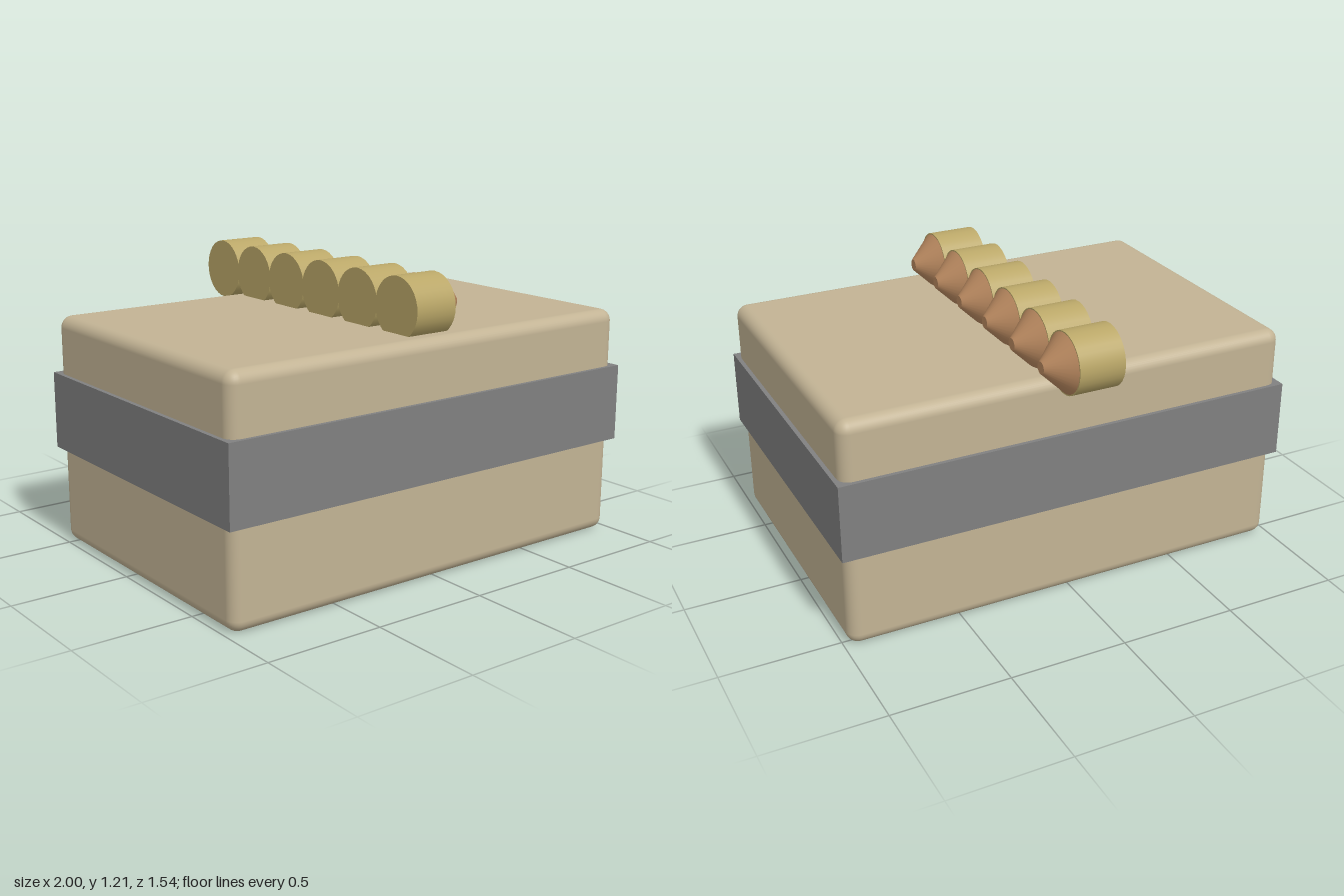
import * as THREE from 'three';
import { RoundedBoxGeometry } from 'three/addons/geometries/RoundedBoxGeometry.js';

const material = (name, color) => {
  const m = new THREE.MeshStandardMaterial({ color });
  m.name = name;
  return m;
};

export function createModel() {
  const sand = material('sand', 0xc2b394);
  const grey = material('grey', 0x808080);
  const brass = material('brass', 0xbaa768);
  const copper = material('copper', 0xb8885f);

  const model = new THREE.Group();
  model.name = 'ammoBox';
  const add = (parent, name, geometry, mat, x, y, z) => {
    const mesh = new THREE.Mesh(geometry, mat);
    mesh.name = name;
    mesh.position.set(x, y, z);
    parent.add(mesh);
    return mesh;
  };

  // Soft-edged box with a square band around it
  add(model, 'box', new RoundedBoxGeometry(1.964, 0.984, 1.31, 4, 0.05), sand, 0, 0.492, 0.1);
  add(model, 'band', new THREE.BoxGeometry(2, 0.327, 1.344), grey, 0, 0.575, 0.1);

  // Row of rounds lying across the lid, the last one overhanging the back
  const caseGeometry = new THREE.CylinderGeometry(0.128, 0.128, 0.196, 32).rotateZ(-Math.PI / 2);
  const tipGeometry = new THREE.CylinderGeometry(0.0255, 0.123, 0.1, 32).rotateZ(-Math.PI / 2);
  for (let i = 0; i < 6; i++) {
    const round = new THREE.Group();
    round.name = `round${i + 1}`;
    round.position.set(0, 1.085, 0.592 - i * 0.2456);
    add(round, 'case', caseGeometry, brass, -0.002, 0, 0);
    add(round, 'tip', tipGeometry, copper, 0.146, 0, 0);
    model.add(round);
  }
  return model;
}
